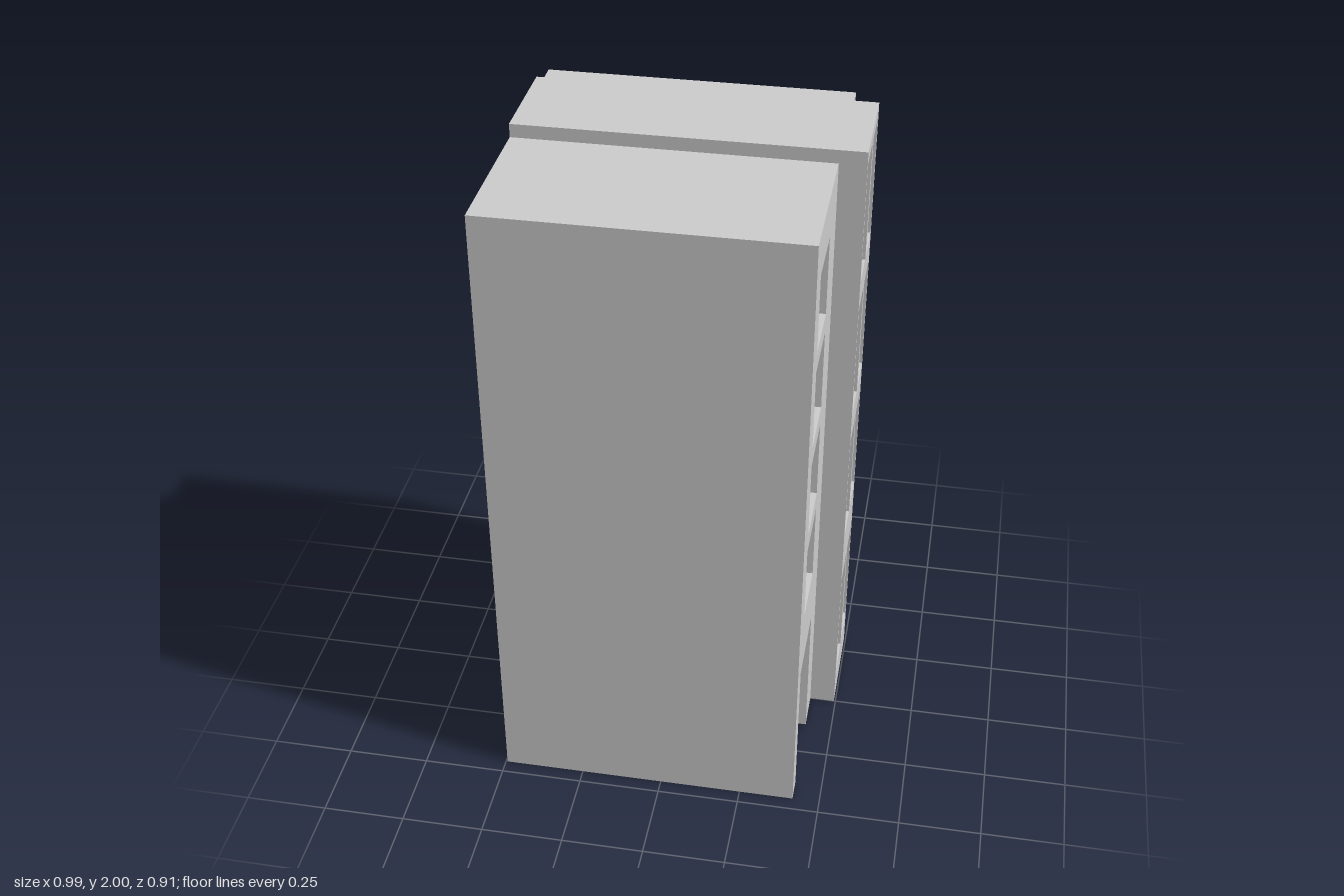
import * as THREE from 'three';

const H = 1.96, TOP = 2;            // main roof and raised bay roof
const X0 = -0.495, XW = 0.417, XB = 0.495; // left wall, street wall, bay face
const Z = 0.457, ZB = -0.315;       // half depth, back side of the bay
const RECESS = 0.025;
const material = new THREE.MeshStandardMaterial({ color: 0xcccccc, side: THREE.DoubleSide });

// Box given by its limits, without the listed faces (0 +x, 1 -x, 2 +y, 3 -y, 4 +z, 5 -z)
function openBox(name, [x0, x1], [y0, y1], [z0, z1], omit) {
  const geo = new THREE.BoxGeometry(x1 - x0, y1 - y0, z1 - z0);
  const index = Array.from(geo.index.array);
  geo.setIndex(index.filter((_, i) => !omit.includes(Math.floor(i / 6))));
  geo.translate((x0 + x1) / 2, (y0 + y1) / 2, (z0 + z1) / 2);
  const mesh = new THREE.Mesh(geo, material);
  mesh.name = name;
  return mesh;
}

function rectangle(path, [z0, z1], [y0, y1]) {
  path.moveTo(-z1, y0);
  path.lineTo(-z0, y0);
  path.lineTo(-z0, y1);
  path.lineTo(-z1, y1);
  path.closePath();
  return path;
}

// Wall facing +x, with cut openings and a recessed pane behind each
function facade(name, x, zRange, yRange, windows, door) {
  const group = new THREE.Group();
  group.name = name;
  const shape = new THREE.Shape();
  if (door) {
    // The doorway is a notch in the bottom edge
    const [[d0, d1], [, dTop]] = door;
    [[-zRange[1], 0], [-d1, 0], [-d1, dTop], [-d0, dTop], [-d0, 0],
      [-zRange[0], 0], [-zRange[0], yRange[1]], [-zRange[1], yRange[1]]]
      .forEach(([u, v], i) => (i ? shape.lineTo(u, v) : shape.moveTo(u, v)));
    shape.closePath();
    group.add(openBox('doorRecess', [x - RECESS, x], door[1], door[0], [0, 3]));
  } else {
    rectangle(shape, zRange, yRange);
  }
  for (const [z, y] of windows) {
    shape.holes.push(rectangle(new THREE.Path(), z, y));
    group.add(openBox('windowRecess', [x - RECESS, x], y, z, [0]));
  }
  const wall = new THREE.Mesh(new THREE.ShapeGeometry(shape), material);
  wall.name = 'wall';
  wall.rotation.y = Math.PI / 2;
  wall.position.x = x;
  group.add(wall);
  return group;
}

export function createModel() {
  const model = new THREE.Group();
  model.name = 'building';

  // Main shell, open underneath
  model.add(openBox('mainBody', [X0, XW], [0, H], [-Z, Z], [0, 3]));

  // Street wall with one column of windows over a doorway
  const wingWindows = [[0.66, 0.905], [0.965, 1.21], [1.27, 1.52], [1.58, 1.82]]
    .map((y) => [[0.155, 0.36], y]);
  model.add(facade('streetFacade', XW, [-Z, Z], [0, H], wingWindows, [[0.125, 0.385], [0, 0.46]]));

  // Raised roof strip and the projecting bay below it
  model.add(openBox('raisedRoof', [X0, XB], [H, TOP], [ZB, 0], [0, 3]));
  model.add(openBox('baySides', [XW, XB], [0, H], [ZB, 0], [0, 1, 2, 3]));

  // Bay front with pairs of tall windows
  const bayWindows = [];
  for (const y of [[0.125, 0.51], [0.68, 1.04], [1.135, 1.5], [1.59, 1.96]]) {
    for (const z of [[-0.145, -0.01], [-0.305, -0.17]]) bayWindows.push([z, y]);
  }
  model.add(facade('bayFacade', XB, [ZB, 0], [0, TOP], bayWindows));

  // Inner ceiling above the ground floor
  const ceiling = new THREE.Mesh(new THREE.PlaneGeometry(XW - RECESS - X0, 2 * Z), material);
  ceiling.name = 'groundFloorCeiling';
  ceiling.rotation.x = Math.PI / 2;
  ceiling.position.set((XW - RECESS + X0) / 2, 0.63, 0);
  model.add(ceiling);

  return model;
}
